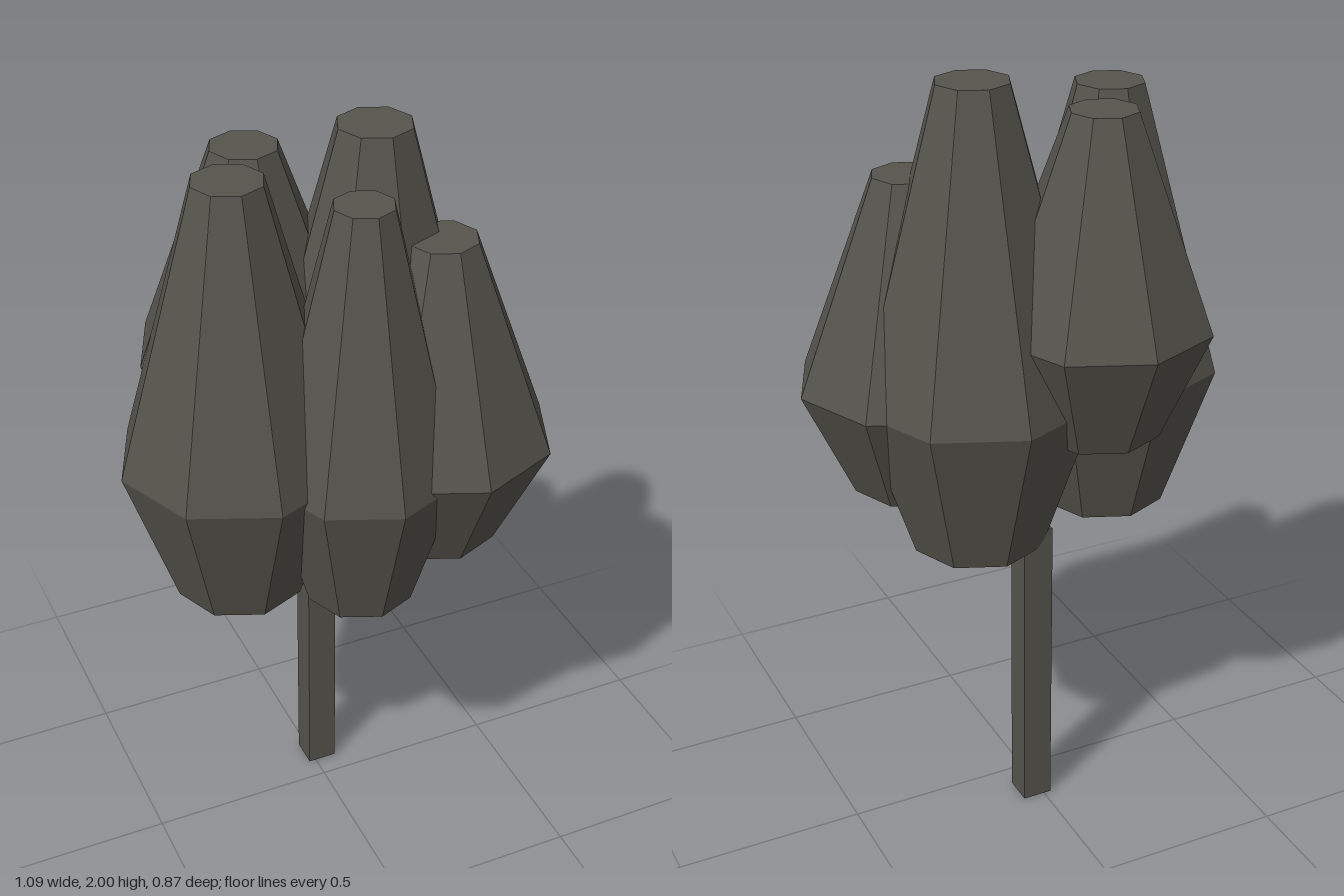
import * as THREE from 'three';

export function createModel() {
  const model = new THREE.Group();
  const material = new THREE.MeshStandardMaterial({ color: 0x55534c });
  material.flatShading = true;

  const add = (name, geometry, x, y, z) => {
    const mesh = new THREE.Mesh(geometry, material);
    mesh.name = name;
    mesh.position.set(x, y, z);
    model.add(mesh);
  };

  // Square trunk, its top buried in the foliage
  const trunkHeight = 0.84;
  add('trunk', new THREE.BoxGeometry(0.08, trunkHeight, 0.08), 0.02, trunkHeight / 2, -0.1);

  // Eight-sided foliage clump: capped bottom, wide waist, narrow flat top
  const clump = (name, x, z, [yBottom, yWaist, yTop], [rBottom, rWaist, rTop]) => {
    const profile = [
      [0, yBottom], [rBottom, yBottom], [rWaist, yWaist], [rTop, yTop], [0, yTop],
    ].map(([r, y]) => new THREE.Vector2(r, y));
    add(name, new THREE.LatheGeometry(profile, 8), x, 0, z);
  };

  clump('foliageCentre', 0.132, -0.01, [0.79, 1.21, 2.0], [0.175, 0.314, 0.094]);
  clump('foliageRight', -0.25, 0.026, [0.82, 1.21, 1.945], [0.166, 0.297, 0.089]);
  clump('foliageBack', -0.139, -0.152, [1.11, 1.4, 1.935], [0.159, 0.286, 0.086]);
  clump('foliageLeft', 0.244, 0.133, [0.92, 1.21, 1.75], [0.167, 0.3, 0.09]);
  clump('foliageFront', 0.023, 0.169, [0.81, 1.19, 1.895], [0.14, 0.251, 0.075]);

  return model;
}
